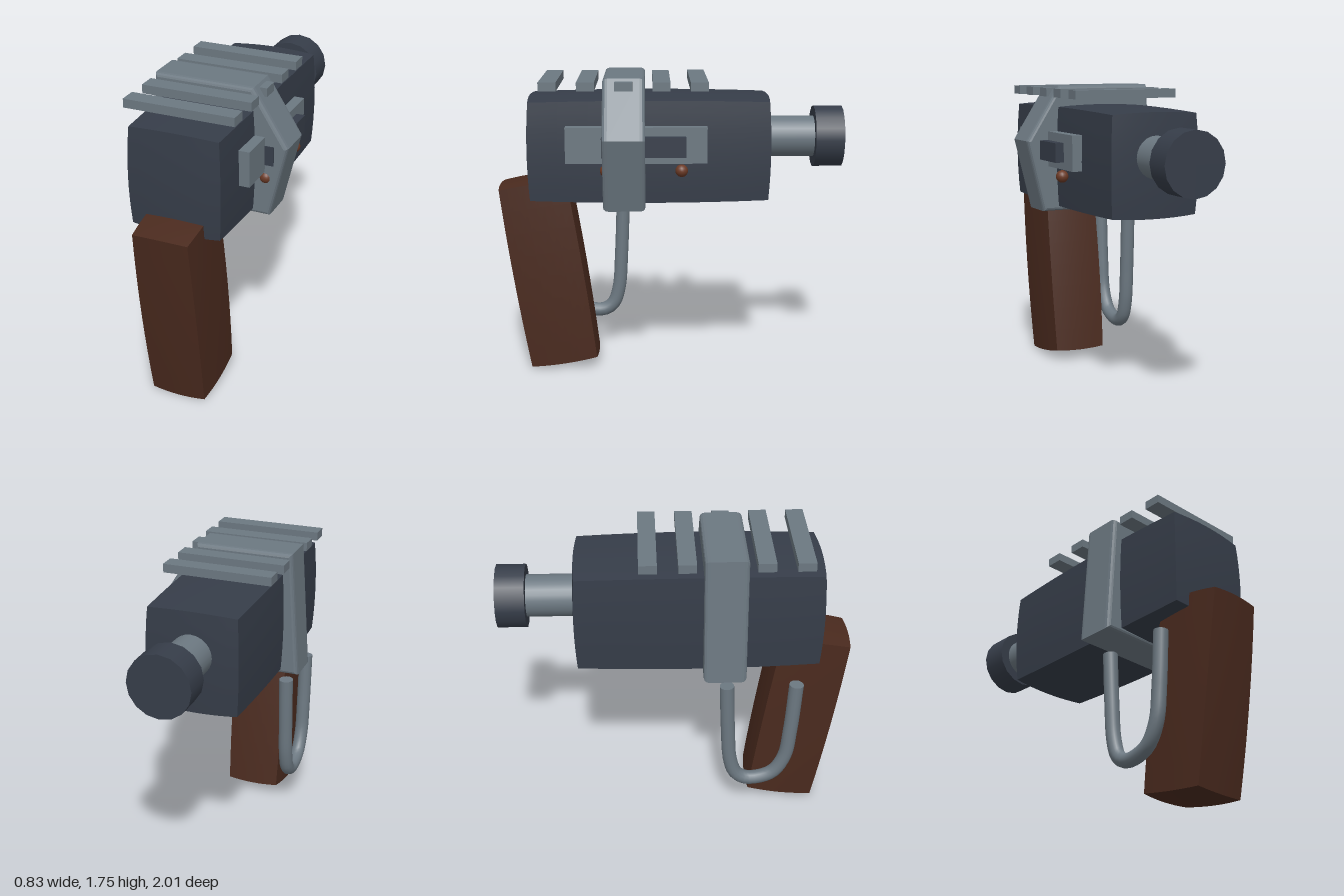
import * as THREE from 'three';

const mat = (name, color) => Object.assign(new THREE.MeshStandardMaterial({ color }), { name });

// Box whose faces and edges swell outward by the given bulge
function pillowBox(w, h, d, bulge) {
  const g = new THREE.BoxGeometry(w, h, d, 8, 8, 8);
  const p = g.attributes.position;
  const half = [w / 2, h / 2, d / 2];
  for (let i = 0; i < p.count; i++) {
    const u = [p.getX(i) / half[0], p.getY(i) / half[1], p.getZ(i) / half[2]];
    const v = u.map((t, a) => {
      const b = u[(a + 1) % 3], c = u[(a + 2) % 3];
      return t * (half[a] + bulge * (2 - b * b - c * c) / 2);
    });
    p.setXYZ(i, ...v);
  }
  g.computeVertexNormals();
  return g;
}

export function createModel() {
  const dark = mat('dark gunmetal', 0x363d49);
  const steel = mat('grey steel', 0x6c7881);
  const wood = mat('brown wood', 0x4a2a1e);
  const copper = mat('copper rivet', 0x6b3a26);
  const model = new THREE.Group();
  const add = (name, geo, material, x, y, z) => {
    const m = new THREE.Mesh(geo, material);
    m.name = name;
    m.position.set(x, y, z);
    model.add(m);
    return m;
  };
  const cx = -0.05;

  // Main body and leaning grip
  add('body', pillowBox(0.515, 0.565, 1.365, 0.022), dark, cx, 1.333, 0.128);
  add('grip', pillowBox(0.32, 1.097, 0.395, 0.016), wood, cx, 0.578, 0.723).rotation.x = 0.151;

  // Barrel and muzzle
  add('barrel', new THREE.CylinderGeometry(0.12, 0.12, 0.4, 24), steel, cx, 1.38, -0.66).rotation.x = Math.PI / 2;
  add('muzzle', new THREE.CylinderGeometry(0.18, 0.18, 0.165, 16), dark, cx, 1.38, -0.9175).rotation.x = Math.PI / 2;

  // Bevelled five-sided band around the body
  const band = new THREE.Shape([[-0.35, 1.73], [0.2, 1.73], [0.392, 1.426], [0.295, 1.03], [-0.4, 1.03]]
    .map(([x, y]) => new THREE.Vector2(x, y)));
  add('band', new THREE.ExtrudeGeometry(band, {
    depth: 0.18, bevelThickness: 0.03, bevelSize: 0.02, bevelSegments: 3,
  }), steel, 0, 0, 0.18);

  // Row of slats along the top
  for (let i = 0; i < 5; i++) {
    add('topSlat', new THREE.BoxGeometry(0.635, 0.05, 0.1), steel, -0.052, 1.71, -0.155 + i * 0.2125);
  }

  // Side plate, slider and rivets
  add('sidePlate', new THREE.BoxGeometry(0.065, 0.205, 0.8), steel, 0.2525, 1.382, 0.2);
  add('slider', new THREE.BoxGeometry(0.07, 0.112, 0.475), dark, 0.302, 1.378, 0.158);
  for (const z of [-0.055, 0.37]) {
    add('rivet', new THREE.SphereGeometry(0.036, 16, 12), copper, 0.285, 1.24, z);
  }

  // U-shaped trigger guard with closed ends
  const x = -0.31, r = 0.042;
  const path = new THREE.CatmullRomCurve3([
    [0.29, 0.91], [0.303, 0.6], [0.32, 0.38], [0.355, 0.275], [0.41, 0.235], [0.49, 0.235],
    [0.58, 0.275], [0.645, 0.39], [0.67, 0.58], [0.69, 0.91],
  ].map(([z, y]) => new THREE.Vector3(x, y, z)));
  add('triggerGuard', new THREE.TubeGeometry(path, 48, r, 14), steel, 0, 0, 0);
  for (const t of [0, 1]) {
    const end = path.getPointAt(t);
    const cap = add('triggerGuardEnd', new THREE.CircleGeometry(r, 14), steel, end.x, end.y, end.z);
    const outward = path.getTangentAt(t).multiplyScalar(t ? 1 : -1);
    cap.quaternion.setFromUnitVectors(new THREE.Vector3(0, 0, 1), outward);
  }
  return model;
}
